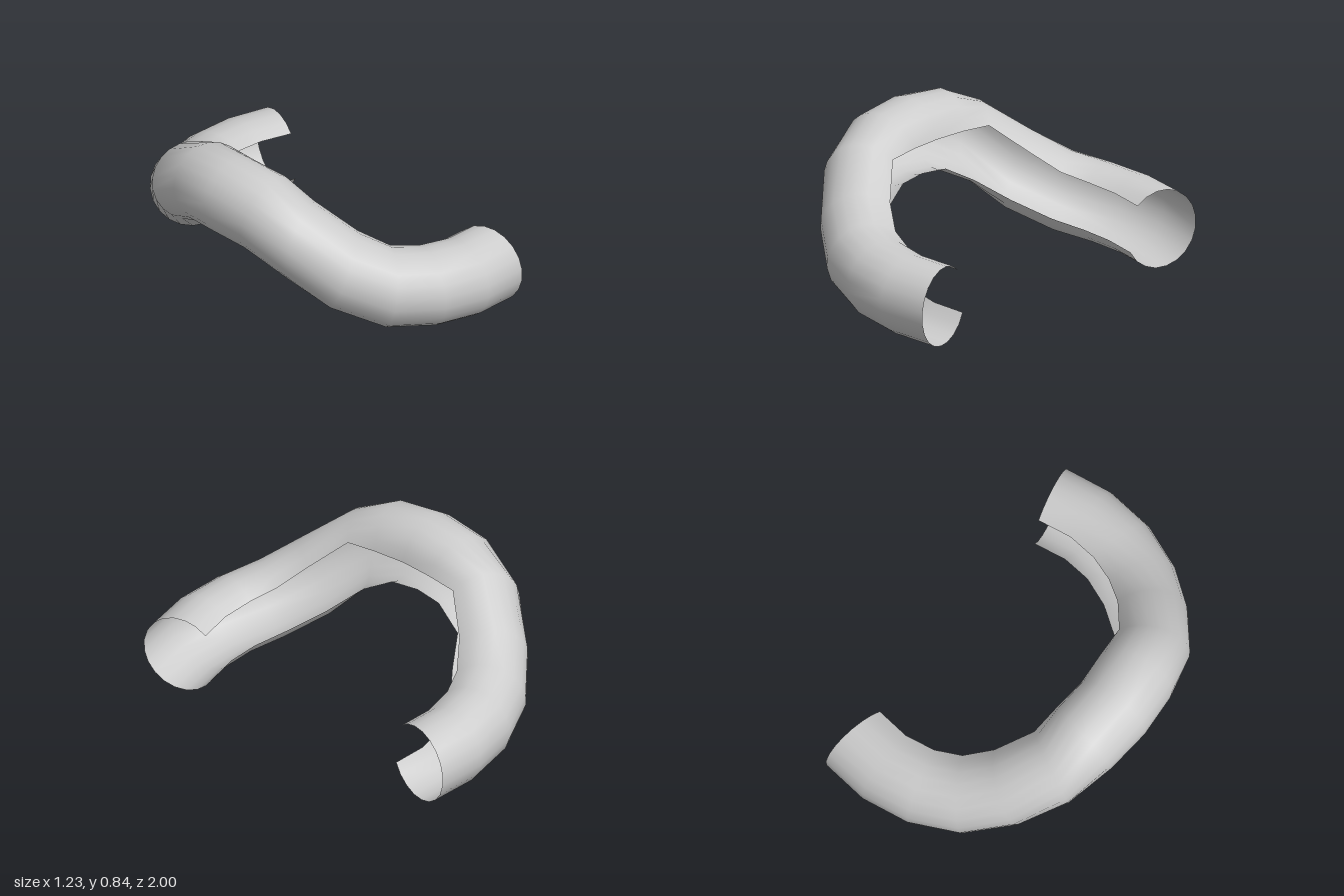
import * as THREE from 'three';

// Half of the centre line, from the raised middle to one end: x, y, z,
// the angles (degrees) of the slot's upper and lower edges from the inward
// direction, and the forward lean (degrees) of the ring.
const STATIONS = [
  [-0.42, 0.645, 0, 8, -62, 0],
  [-0.4, 0.63, 0.203, 13, -60, 11],
  [-0.342, 0.536, 0.392, 40, -58, 12],
  [-0.2, 0.38, 0.557, 46, -33, 21],
  [-0.03, 0.275, 0.693, 46, -26, 9],
  [0.16, 0.24, 0.773, 46, -26, 0],
  [0.36, 0.22, 0.798, 46, -26, 0],
  [0.57, 0.205, 0.77, 46, -26, 0],
];
const RADIUS = 0.202;
const SEGMENTS = 16;

// One open ring of the channel, across the centre line
function ring(k) {
  const last = STATIONS.length - 1;
  const point = (i) => {
    const [x, y, z] = STATIONS[Math.abs(i)];
    return new THREE.Vector3(x, y, i < 0 ? -z : z);
  };
  const [upper, lower, lean] = STATIONS[k].slice(3).map(THREE.MathUtils.degToRad);
  const heading = k === last
    ? new THREE.Vector3(0.97, 0, -0.22)
    : point(k + 1).sub(point(k - 1)).setY(0);
  heading.normalize();
  const vertical = new THREE.Vector3(0, 1, 0);
  const inward = vertical.clone().cross(heading);
  const up = vertical.multiplyScalar(Math.cos(lean)).addScaledVector(heading, Math.sin(lean));
  const points = [];
  for (let j = 0; j <= SEGMENTS; j++) {
    const a = THREE.MathUtils.lerp(upper, lower + 2 * Math.PI, j / SEGMENTS);
    points.push(point(k)
      .addScaledVector(inward, RADIUS * Math.cos(a))
      .addScaledVector(up, RADIUS * Math.sin(a)));
  }
  return points;
}

// Sweep the rings from one end over the middle to the other, mirrored in z
function channelGeometry() {
  const last = STATIONS.length - 1;
  const row = SEGMENTS + 1;
  const positions = [];
  const indices = [];
  for (let k = -last; k <= last; k++) {
    for (const p of ring(Math.abs(k))) positions.push(p.x, p.y, k < 0 ? -p.z : p.z);
    if (k === last) break;
    for (let j = 0; j < SEGMENTS; j++) {
      const a = (k + last) * row + j;
      const b = a + row;
      indices.push(a, a + 1, b, b, a + 1, b + 1);
    }
  }
  const geometry = new THREE.BufferGeometry();
  geometry.setAttribute('position', new THREE.Float32BufferAttribute(positions, 3));
  geometry.setIndex(indices);
  geometry.computeVertexNormals();
  return geometry;
}

export function createModel() {
  const group = new THREE.Group();
  group.name = 'curvedSlottedTube';

  // Thin open shell
  const shell = new THREE.Mesh(
    channelGeometry(),
    new THREE.MeshStandardMaterial({ color: 0xcccccc, side: THREE.DoubleSide }),
  );
  shell.name = 'tubeShell';
  group.add(shell);
  return group;
}
